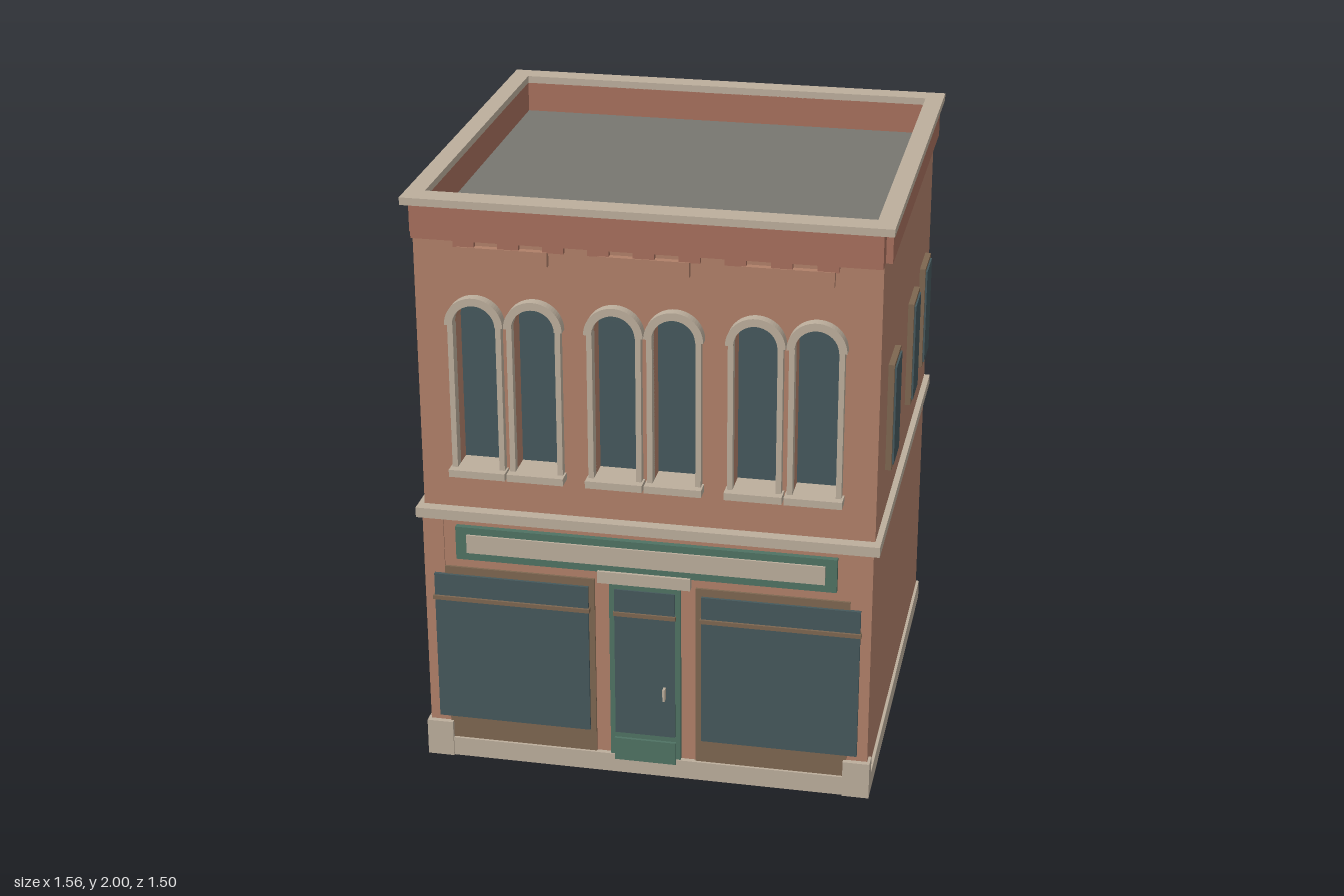
import * as THREE from 'three';

const mat = (color) => new THREE.MeshStandardMaterial({ color, side: THREE.DoubleSide });

export function createModel() {
  const model = new THREE.Group();
  model.name = 'shopBuilding';
  const brick = mat(0xb08069), frieze = mat(0xa66f5c), stone = mat(0xbcae9c);
  const glass = mat(0x45585c), green = mat(0x4f7263), wood = mat(0x7d6650), roofing = mat(0x787670);

  const add = (name, geometry, material) => {
    const mesh = new THREE.Mesh(geometry, material);
    mesh.name = name;
    model.add(mesh);
    return mesh;
  };
  // Box given by its limits on each axis
  const box = (name, material, x0, x1, y0, y1, z0, z1) => {
    const mesh = add(name, new THREE.BoxGeometry(x1 - x0, y1 - y0, z1 - z0), material);
    mesh.position.set((x0 + x1) / 2, (y0 + y1) / 2, (z0 + z1) / 2);
    return mesh;
  };
  const extrude = (shape, depth) =>
    new THREE.ExtrudeGeometry(shape, { depth, bevelEnabled: false, curveSegments: 16 });
  const rectangle = (x0, x1, y0, y1, Type = THREE.Shape) =>
    new Type([[x0, y0], [x1, y0], [x1, y1], [x0, y1]].map(([x, y]) => new THREE.Vector2(x, y)));

  const SILL = 1.08, SPRING = 1.585, RADIUS = 0.07;
  // Round-headed opening outline
  const archOutline = (cx, r, Type) => {
    const p = new Type();
    p.moveTo(cx - r, SILL);
    p.lineTo(cx + r, SILL);
    p.lineTo(cx + r, SPRING);
    p.absarc(cx, SPRING, r, 0, Math.PI, false);
    p.closePath();
    return p;
  };
  const archCentres = [];
  for (const pair of [-0.455, 0, 0.455])
    for (const side of [-1, 1]) archCentres.push(pair + side * 0.097);

  // Main walls, with the front wall pierced by the upper windows
  box('body', brick, -0.75, 0.75, 0.02, 1.86, -0.72, 0.6);
  const facade = rectangle(-0.75, 0.75, 0.02, 1.87);
  for (const cx of archCentres) facade.holes.push(archOutline(cx, RADIUS, THREE.Path));
  add('frontWall', extrude(facade, 0.09), brick).position.z = 0.6;

  // Arched windows: glass, jambs, arch and sill
  for (const cx of archCentres) {
    add('archedGlass', extrude(archOutline(cx, RADIUS, THREE.Shape), 0.02), glass).position.z = 0.601;
    for (const s of [-1, 1]) {
      const x = cx + s * 0.079;
      box('windowJamb', stone, x - 0.009, x + 0.009, SILL, SPRING, 0.68, 0.718);
    }
    const ring = new THREE.Shape();
    ring.absarc(cx, SPRING, 0.096, 0, Math.PI, false);
    ring.absarc(cx, SPRING, RADIUS, Math.PI, 0, true);
    ring.closePath();
    add('windowArch', extrude(ring, 0.043), stone).position.z = 0.682;
    box('windowSill', stone, cx - 0.094, cx + 0.094, 1.06, 1.085, 0.62, 0.745);
  }

  // Plinth and corner pedestals
  box('plinth', stone, -0.76, 0.76, 0, 0.068, -0.732, 0.732);
  for (const s of [-1, 1])
    box('cornerPedestal', stone, s > 0 ? 0.67 : -0.76, s > 0 ? 0.76 : -0.67, 0, 0.13, 0.685, 0.738);

  // Band between the storeys
  box('frontBand', stone, -0.77, 0.77, 0.895, 0.93, 0.66, 0.73);
  for (const s of [-1, 1]) {
    const x = s * 0.755;
    box('sideBand', stone, x - 0.015, x + 0.015, 0.895, 0.93, -0.725, 0.66);
  }

  // Shop front wall and piers
  box('shopWall', brick, -0.68, 0.68, 0.06, 0.892, 0.69, 0.715);
  for (const s of [-1, 1]) {
    const x = s * 0.715;
    box('pier', brick, x - 0.035, x + 0.035, 0.06, 0.892, 0.69, 0.72);
  }

  // Display windows
  for (const s of [-1, 1]) {
    const span = (a, b) => (s > 0 ? [a, b] : [-b, -a]);
    box('shopSurround', wood, ...span(0.17, 0.68), 0.062, 0.72, 0.69, 0.723);
    box('shopGlass', glass, ...span(0.19, 0.715), 0.152, 0.693, 0.7, 0.732);
    box('shopTransom', wood, ...span(0.185, 0.72), 0.6, 0.614, 0.7, 0.74);
  }

  // Door
  box('doorFrame', green, -0.12, 0.12, 0.06, 0.72, 0.69, 0.728);
  box('doorGlass', glass, -0.102, 0.102, 0.155, 0.695, 0.7, 0.733);
  box('doorKickPanel', green, -0.105, 0.105, 0.052, 0.135, 0.7, 0.738);
  box('doorTransom', wood, -0.105, 0.105, 0.6, 0.614, 0.7, 0.74);
  box('doorHandle', stone, 0.063, 0.071, 0.3, 0.345, 0.73, 0.753);
  box('doorLintel', stone, -0.155, 0.155, 0.72, 0.762, 0.69, 0.745);

  // Blank sign board
  box('signBoard', green, -0.635, 0.635, 0.757, 0.875, 0.69, 0.735);
  box('signPanel', stone, -0.597, 0.597, 0.785, 0.85, 0.7, 0.742);

  // Side windows
  for (const s of [-1, 1])
    for (const z of [0.395, -0.148, -0.493]) {
      const frame = s * 0.755, pane = s * 0.76;
      box('sideWindowFrame', wood, frame - 0.015, frame + 0.015, 1.09, 1.46, z - 0.087, z + 0.087);
      box('sideWindowGlass', glass, pane - 0.016, pane + 0.016, 1.105, 1.447, z - 0.073, z + 0.073);
    }

  // Corbel blocks and brick panels under the frieze
  for (let i = -4; i <= 4; i++)
    box('corbel', frieze, i * 0.145 - 0.034, i * 0.145 + 0.034, 1.845, 1.872, 0.68, 0.708);
  for (const x of [-0.455, 0, 0.455])
    box('brickPanel', brick, x - 0.146, x + 0.146, 1.797, 1.847, 0.68, 0.712);

  // Parapet, roof and coping
  box('frontParapet', frieze, -0.75, 0.75, 1.867, 1.976, 0.635, 0.713);
  box('backParapet', frieze, -0.75, 0.75, 1.867, 1.976, -0.727, -0.675);
  for (const s of [-1, 1]) {
    const x = s * 0.746;
    box('sideParapet', frieze, x - 0.026, x + 0.026, 1.867, 1.976, -0.682, 0.653);
  }
  box('roof', roofing, -0.73, 0.73, 1.855, 1.872, -0.69, 0.65);
  // Coping outline is drawn flat, so its second axis runs opposite to z
  const coping = rectangle(-0.782, 0.782, -0.714, 0.75);
  coping.holes.push(rectangle(-0.72, 0.72, -0.633, 0.675, THREE.Path));
  const cap = add('coping', extrude(coping, 0.025), stone);
  cap.rotation.x = -Math.PI / 2;
  cap.position.y = 1.975;

  return model;
}
